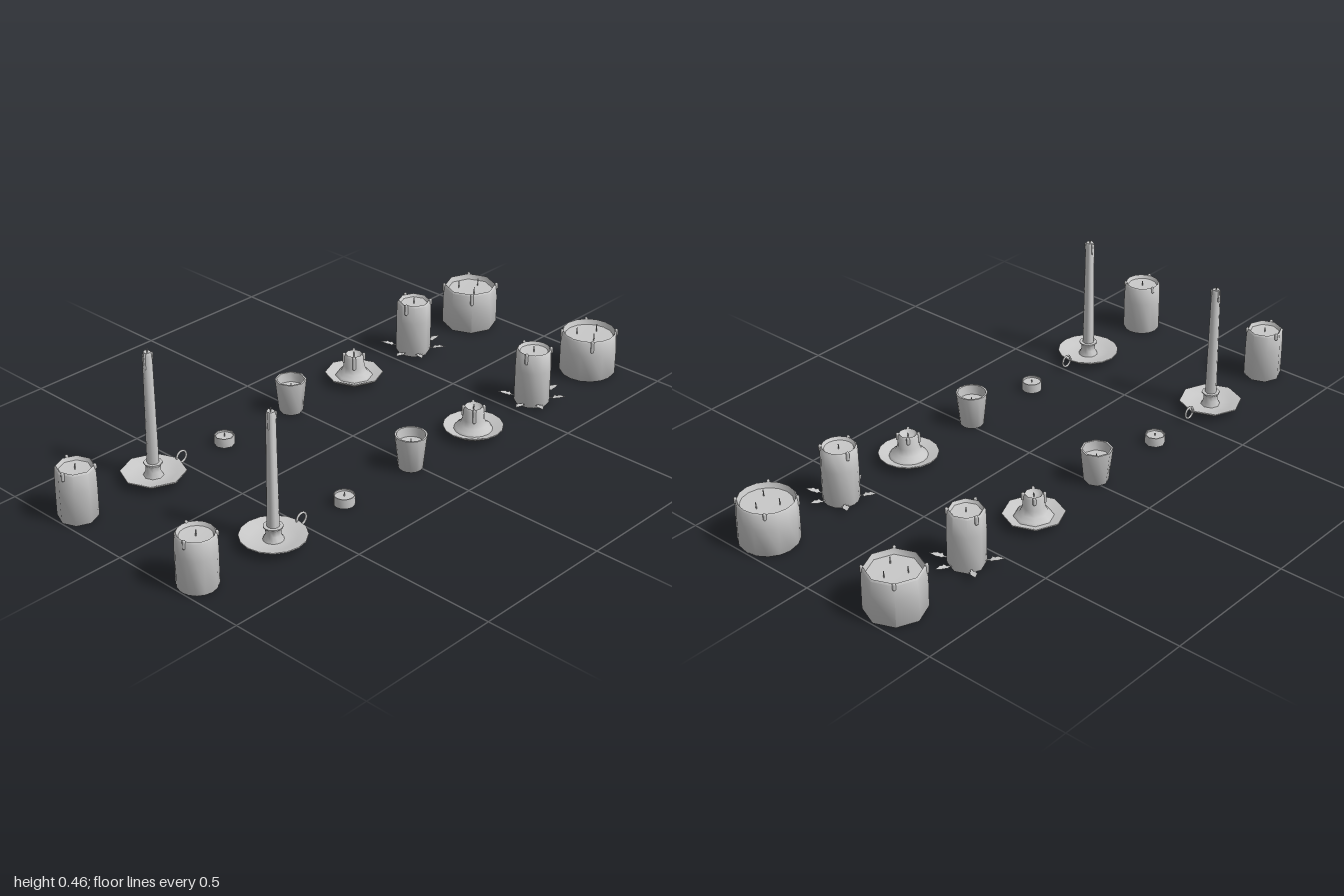
import * as THREE from 'three';
import { toCreasedNormals } from 'three/addons/utils/BufferGeometryUtils.js';

const grey = new THREE.MeshStandardMaterial({ color: 0xc8c8c8, side: THREE.DoubleSide });
grey.name = 'plain grey';

function add(parent, name, geometry, x = 0, y = 0, z = 0) {
  const mesh = new THREE.Mesh(geometry, grey);
  mesh.name = name;
  mesh.position.set(x, y, z);
  parent.add(mesh);
  return mesh;
}

// Turned part from [radius, height] pairs, outside from bottom to top
function turned(parent, name, sides, ...profile) {
  const points = profile.map(([r, y]) => new THREE.Vector2(r, y));
  add(parent, name, toCreasedNormals(new THREE.LatheGeometry(points, sides), 0.9));
}

// Short bent wick
function wick(parent, x, y, z, h = 0.016) {
  const path = new THREE.QuadraticBezierCurve3(
    new THREE.Vector3(0, -0.004, 0), new THREE.Vector3(0, h * 0.7, 0), new THREE.Vector3(0.004, h, -0.003));
  add(parent, 'wick', new THREE.TubeGeometry(path, 4, 0.0018, 5), x, y, z);
}

// Wax runs of varied length, spaced around the side
function drips(parent, r, top, count, longest, size = 0.006) {
  for (let i = 0; i < count; i++) {
    const a = 0.8 + (i * Math.PI * 2) / count;
    const length = longest * (0.4 + 0.6 * ((i * 2) % 3) / 2);
    add(parent, 'waxDrip', new THREE.CapsuleGeometry(size, length, 3, 6),
      Math.cos(a) * r, top - length / 2 - size * 0.6, Math.sin(a) * r);
  }
}

// Pillar with a melted hollow in its top
function pillar(parent, sides, r, h, pool) {
  const rim = r * 0.97;
  turned(parent, 'pillarCandle', sides, [0, 0], [r * 0.95, 0], [r, 0.007], [r, h * 0.65],
    [rim, h - 0.006], [rim - 0.005, h], [rim - 0.012, h - pool], [0, h - pool - 0.003]);
}

// Shallow dish on a narrow foot
function dish(parent, sides, r) {
  turned(parent, 'dish', sides, [0, 0.004], [r / 2, 0.004], [r * 0.8, 0.012], [r, 0.026],
    [r, 0.03], [r * 0.94, 0.029], [r * 0.7, 0.019], [r * 0.4, 0.014], [0, 0.014]);
}

// Pointed, barbed leaf, folded up a little along its middle
function leaf(parent, angle) {
  const edge = [[0.05, 0.003], [0.071, 0.004], [0.076, 0.014], [0.084, 0.009], [0.092, 0.012]];
  const outline = [...edge, [0.116, 0], ...edge.map(([x, y]) => [x, -y]).reverse()];
  const geometry = new THREE.ShapeGeometry(new THREE.Shape(outline.map(([x, y]) => new THREE.Vector2(x, y))));
  const p = geometry.attributes.position;
  for (let i = 0; i < p.count; i++) {
    const x = p.getX(i), w = p.getY(i);
    p.setXYZ(i, x, 0.012 + (x - 0.05) * 0.2 + Math.abs(w) * 0.25, -w);
  }
  geometry.computeVertexNormals();
  add(parent, 'leaf', geometry).rotation.y = angle;
}

function mediumPillar(g, sides) {
  pillar(g, sides, 0.065, 0.18, 0.012);
  wick(g, 0, 0.166, 0, 0.018);
  drips(g, 0.061, 0.183, 3, 0.02);
}

function taperInHolder(g, sides) {
  dish(g, sides, 0.106);
  turned(g, 'socket', sides, [0.034, 0.012], [0.024, 0.032], [0.024, 0.05],
    [0.031, 0.057], [0.031, 0.061], [0.018, 0.061]);
  turned(g, 'taperCandle', sides, [0.02, 0.035], [0.0155, 0.44], [0.012, 0.45], [0, 0.446]);
  wick(g, 0, 0.446, 0, 0.014);
  drips(g, 0.0145, 0.449, 3, 0.05, 0.0035);
  add(g, 'ringHandle', new THREE.TorusGeometry(0.02, 0.004, 6, 16), 0.119, 0.03, 0);
}

function tealight(g, sides) {
  turned(g, 'tealightCup', sides, [0, 0], [0.034, 0], [0.034, 0.033], [0.031, 0.033],
    [0.031, 0.026], [0, 0.026]);
  wick(g, 0, 0.026, 0, 0.011);
}

function votive(g, sides) {
  turned(g, 'cup', sides, [0, 0], [0.038, 0], [0.041, 0.004], [0.053, 0.12], [0.047, 0.12], [0.043, 0.085]);
  turned(g, 'votiveWax', sides, [0.043, 0.087], [0, 0.085]);
  wick(g, 0, 0.085, 0);
}

function meltedStub(g, sides) {
  dish(g, sides, 0.1);
  turned(g, 'meltedWax', sides, [0.066, 0.016], [0.059, 0.026], [0.045, 0.036], [0.036, 0.055],
    [0.034, 0.092], [0.029, 0.1], [0.019, 0.088], [0, 0.086]);
  wick(g, 0, 0.086, 0, 0.018);
  drips(g, 0.034, 0.101, 4, 0.04);
}

function wreathedPillar(g, sides) {
  pillar(g, sides, 0.061, 0.197, 0.01);
  wick(g, 0, 0.185, 0, 0.018);
  drips(g, 0.058, 0.2, 3, 0.03);
  for (const angle of [0.96, -0.2, -1]) {
    leaf(g, angle);
    leaf(g, Math.PI - angle);
  }
}

function threeWickCandle(g, sides) {
  pillar(g, sides, 0.098, 0.153, 0.018);
  for (let i = 0; i < 3; i++) {
    const a = (i * Math.PI * 2) / 3;
    wick(g, Math.cos(a) * 0.042, 0.132, Math.sin(a) * 0.042, 0.027);
  }
  drips(g, 0.094, 0.156, 4, 0.035);
}

export function createModel() {
  const model = new THREE.Group();
  model.name = 'candleSet';
  const kinds = [mediumPillar, taperInHolder, tealight, votive, meltedStub, wreathedPillar, threeWickCandle];
  // Finer row in front, coarser row behind
  for (const [row, z, sides] of [['front', 0.27, 16], ['back', -0.27, 8]]) {
    kinds.forEach((build, i) => {
      const group = new THREE.Group();
      group.name = `${row} ${build.name}`;
      group.position.set(-0.935 + i * 0.306, 0, z);
      build(group, sides);
      model.add(group);
    });
  }
  return model;
}
